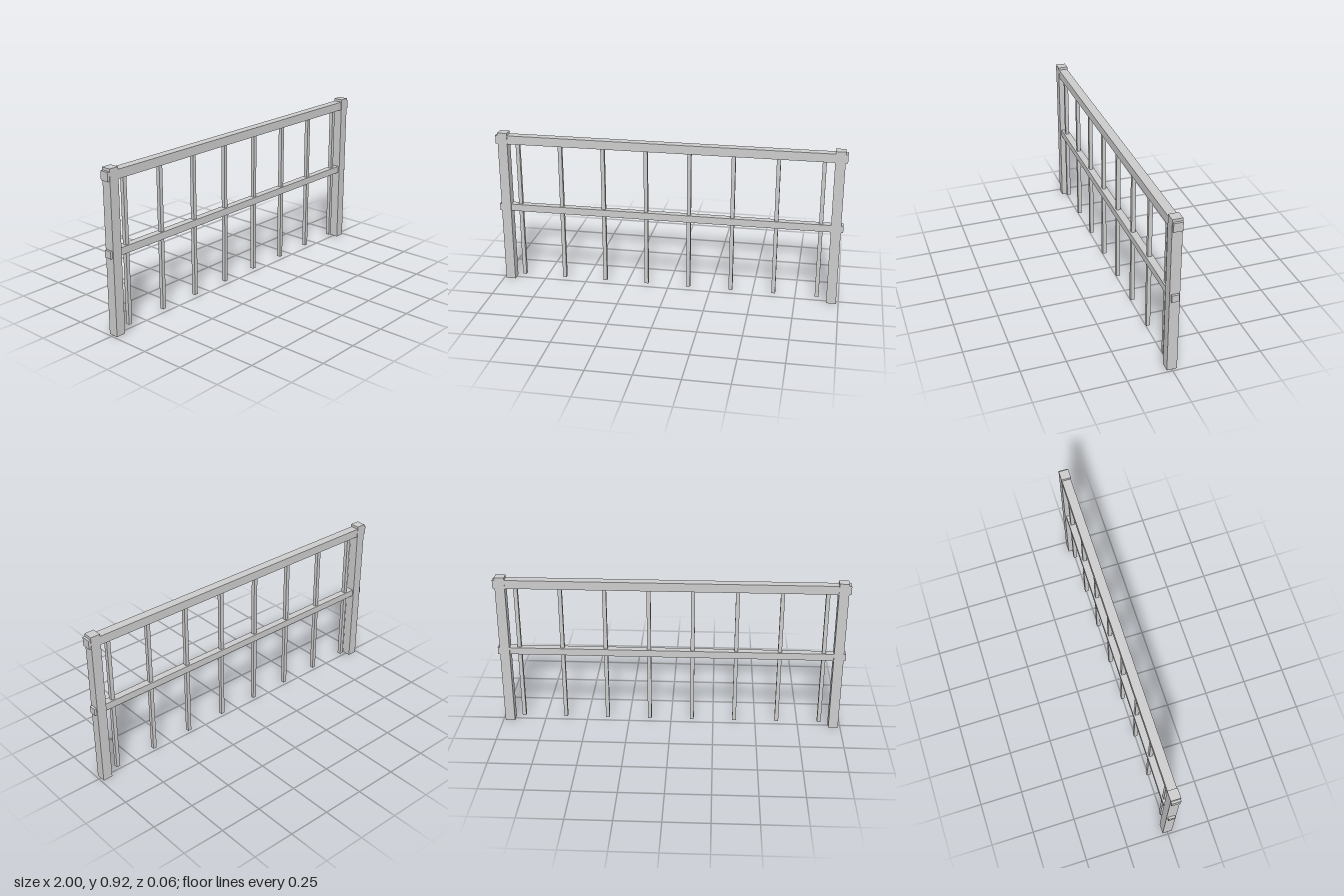
import * as THREE from 'three';

export function createModel() {
  const group = new THREE.Group();
  const material = new THREE.MeshStandardMaterial({ color: 0xcccccc });

  // Square-section bar spanning y0..y1, centred on z = 0
  function bar(name, x, width, y0, y1, depth) {
    const mesh = new THREE.Mesh(new THREE.BoxGeometry(width, y1 - y0, depth), material);
    mesh.position.set(x, (y0 + y1) / 2, 0);
    mesh.name = name;
    group.add(mesh);
  }

  // End posts
  bar('leftPost', 0.959, 0.056, 0, 0.916, 0.056);
  bar('rightPost', -0.959, 0.056, 0, 0.916, 0.056);

  // Rails run through the posts and stick out slightly at both ends
  bar('topRail', 0, 2, 0.851, 0.901, 0.051);
  bar('middleRail', 0, 2, 0.439, 0.48, 0.041);

  // Evenly spaced balusters hanging from the top rail
  for (let i = 0; i < 8; i++) {
    bar(`baluster${i + 1}`, -0.875 + i * 0.25, 0.022, 0.028, 0.86, 0.022);
  }

  return group;
}
